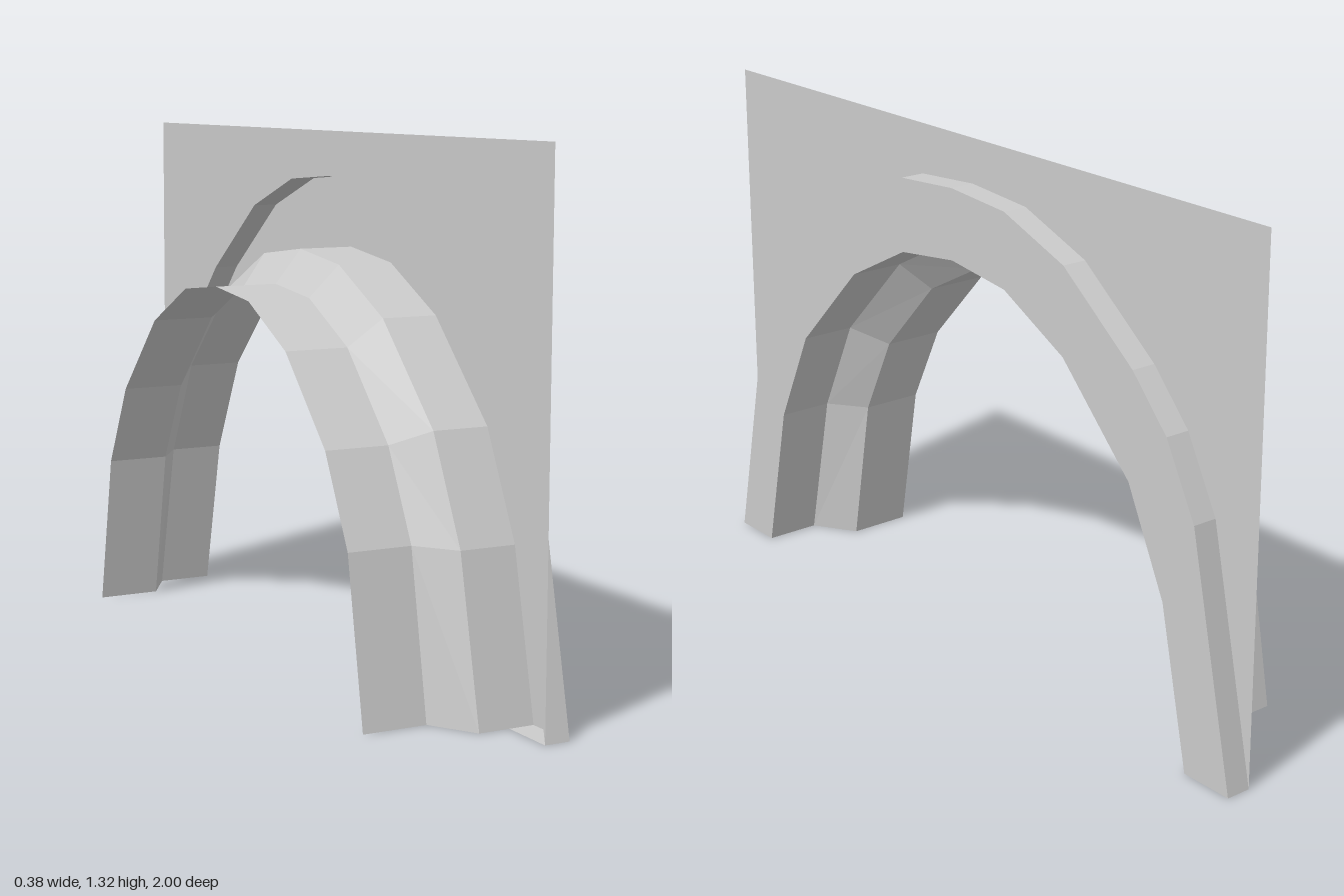
import * as THREE from 'three';

// Half profiles as [z, y], from the foot up to the crown
const OUTER = [[1, 0], [0.865, 0.62], [0.77, 0.8], [0.655, 0.925], [0.415, 1.11], [0.2, 1.19], [0, 1.205]];
const WIDE = [[0.857, 0], [0.77, 0.4], [0.648, 0.655], [0.415, 0.89], [0.2, 1.0], [0, 1.025]];
const NARROW = [[0.745, 0], [0.672, 0.4], [0.565, 0.615], [0.37, 0.82], [0.178, 0.92], [0, 0.94]];
const WALL_X = 0.125, FACE_X = 0.19, WALL_TOP = 1.318;

// Full arch from the +z foot over the crown to the -z foot
const mirror = (half) => [...half, ...half.slice(0, -1).reverse().map(([z, y]) => [-z, y])];

export function createModel() {
  const group = new THREE.Group();
  const material = new THREE.MeshStandardMaterial({ color: 0xcccccc, flatShading: true, side: THREE.DoubleSide });

  const add = (name, geometry) => {
    const mesh = new THREE.Mesh(geometry, material);
    mesh.name = name;
    group.add(mesh);
    return mesh;
  };

  // Flat panel in the z-y plane, facing +x
  const panel = (name, points, x) => {
    const shape = new THREE.Shape(points.map(([z, y]) => new THREE.Vector2(-z, y)));
    add(name, new THREE.ShapeGeometry(shape).rotateY(Math.PI / 2)).position.x = x;
  };

  // Surface joining matching cross-sections { x, points }
  const loft = (name, sections) => {
    const positions = [], index = [];
    const n = sections[0].points.length;
    for (const { x, points } of sections) for (const [z, y] of points) positions.push(x, y, z);
    for (let s = 0; s < sections.length - 1; s++) {
      for (let i = 0; i < n - 1; i++) {
        const a = s * n + i, b = a + n;
        index.push(a, b, a + 1, a + 1, b, b + 1);
      }
    }
    const geometry = new THREE.BufferGeometry();
    geometry.setAttribute('position', new THREE.Float32BufferAttribute(positions, 3));
    geometry.setIndex(index);
    geometry.computeVertexNormals();
    add(name, geometry);
  };

  const outer = mirror(OUTER), wide = mirror(WIDE), narrow = mirror(NARROW);

  // Thin wall around the arch opening
  panel('wall', [[1, WALL_TOP], ...outer, [-1, WALL_TOP]], WALL_X);

  // Raised arch trim: face, outer edge and feet
  panel('trimFace', [...outer, ...wide.slice().reverse()], FACE_X);
  loft('trimEdge', [{ x: FACE_X, points: outer }, { x: WALL_X, points: outer }]);
  for (const side of [1, -1]) {
    const foot = [[side * OUTER[0][0], 0], [side * WIDE[0][0], 0]];
    if (side < 0) foot.reverse();
    loft(side > 0 ? 'frontTrimFoot' : 'backTrimFoot', [{ x: WALL_X, points: foot }, { x: FACE_X, points: foot }]);
  }

  // Passage lining, narrowing in one sloped step
  loft('archLining', [
    { x: -0.19, points: narrow },
    { x: -0.025, points: narrow },
    { x: 0.045, points: wide },
    { x: FACE_X, points: wide },
  ]);

  return group;
}
